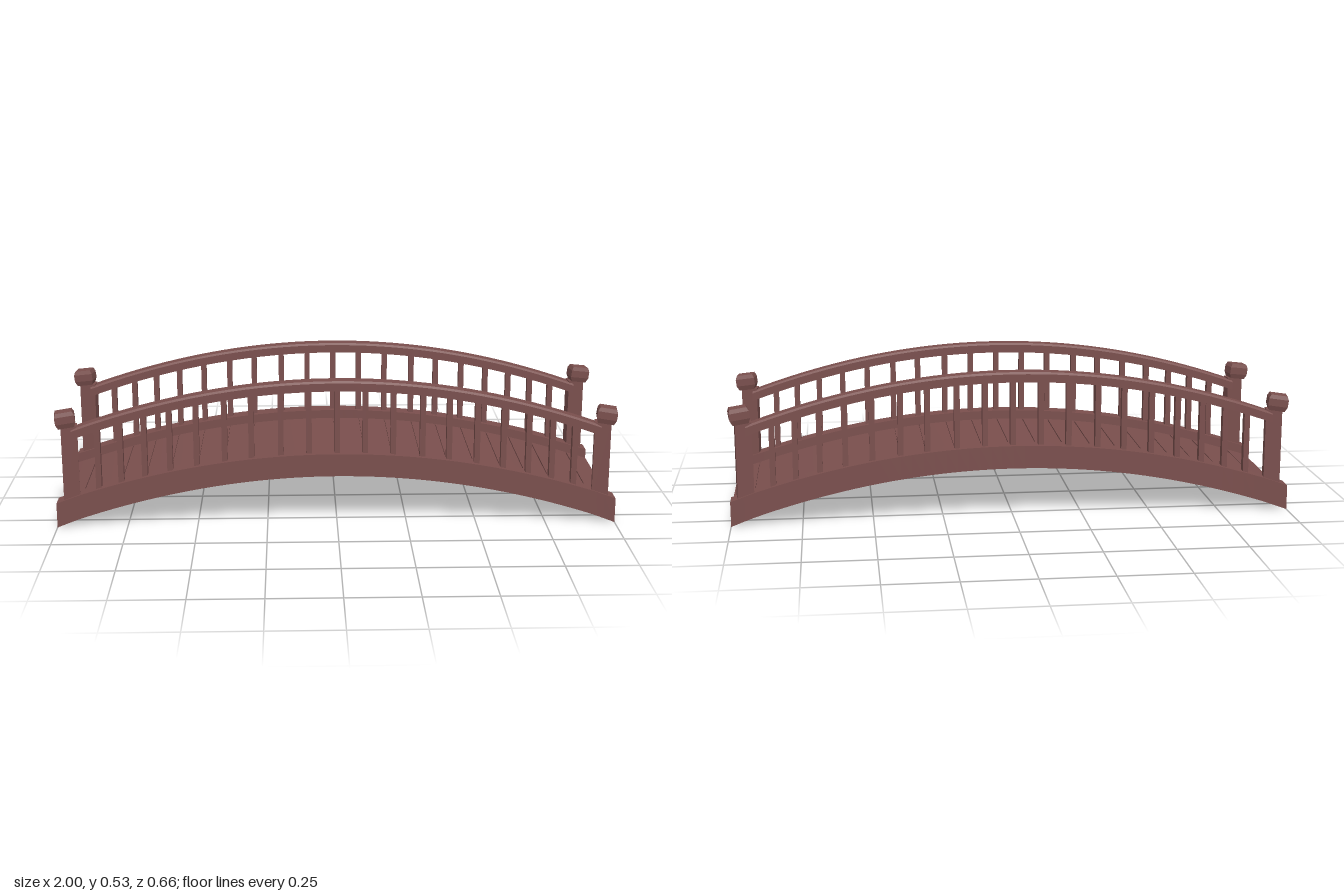
import * as THREE from 'three';
import { toCreasedNormals } from 'three/addons/utils/BufferGeometryUtils.js';

// Lofts a closed section along x; section(x) lists [y, z] corners, turning from +y to +z.
function loft(x0, x1, steps, section) {
  const pos = [];
  const rings = [];
  for (let i = 0; i <= steps; i++) {
    const x = x0 + ((x1 - x0) * i) / steps;
    rings.push(section(x).map(([y, z]) => [x, y, z]));
  }
  const tri = (a, b, c) => pos.push(...a, ...b, ...c);
  const n = rings[0].length;
  for (let i = 0; i < steps; i++) {
    for (let j = 0; j < n; j++) {
      const k = (j + 1) % n;
      tri(rings[i][j], rings[i][k], rings[i + 1][k]);
      tri(rings[i][j], rings[i + 1][k], rings[i + 1][j]);
    }
  }
  const first = rings[0], last = rings[steps];
  for (let j = 1; j < n - 1; j++) {
    tri(first[0], first[j + 1], first[j]);
    tri(last[0], last[j], last[j + 1]);
  }
  const g = new THREE.BufferGeometry();
  g.setAttribute('position', new THREE.Float32BufferAttribute(pos, 3));
  return toCreasedNormals(g, 0.3);
}

const rect = (y0, y1, z0, z1) => [[y0, z0], [y1, z0], [y1, z1], [y0, z1]];

// Height curves of the arch
const underside = (x) => 0.18 * (1 - x * x);
const deckTop = (x) => 0.23 - 0.175 * x * x;
const curbTop = (x) => 0.262 - 0.172 * x * x;
const railTop = (x) => 0.528 - 0.192 * x * x;

// The curbs splay outward over the last stretch at each end
const splay = (x) => Math.max(0, Math.abs(x) - 0.92) / 0.08;
const curbInner = (x) => 0.255 + 0.007 * splay(x);
const curbOuter = (x) => 0.317 + 0.011 * splay(x);

export function createModel() {
  const model = new THREE.Group();
  const wood = new THREE.MeshStandardMaterial({ color: 0x7a4f4d });
  wood.name = 'reddish brown wood';

  const add = (geometry, name, parent = model) => {
    const mesh = new THREE.Mesh(geometry, wood);
    mesh.name = name;
    parent.add(mesh);
    return mesh;
  };

  // Solid arched body under the planks
  add(loft(-1, 1, 50, (x) =>
    rect(underside(x), deckTop(x) - 0.006, -curbInner(x), curbInner(x))), 'archBody');

  // Deck planks with narrow grooves between them
  const seams = [0, 0.1, 0.2, 0.305, 0.4, 0.5, 0.6, 0.69, 0.78, 0.92, 1];
  const deck = new THREE.Group();
  deck.name = 'deck';
  model.add(deck);
  for (let i = 0; i < seams.length - 1; i++) {
    for (const s of [-1, 1]) {
      const a = s * (seams[i] + 0.002);
      const b = s * (seams[i + 1] - (i === seams.length - 2 ? 0 : 0.002));
      add(loft(Math.min(a, b), Math.max(a, b), 2, (x) =>
        rect(deckTop(x) - 0.01, deckTop(x), -curbInner(x), curbInner(x))), 'plank', deck);
    }
  }

  const capProfile = [[0, 0], [0.024, 0], [0.03, 0.018], [0.03, 0.044], [0.025, 0.058], [0, 0.06]]
    .map(([r, y]) => new THREE.Vector2(r * Math.SQRT2, y));
  const balusterX = [0, 0.1, 0.2, 0.305, 0.4, 0.5, 0.595, 0.685, 0.77, 0.85];

  for (const side of [-1, 1]) {
    const railing = new THREE.Group();
    railing.name = side > 0 ? 'frontRailing' : 'backRailing';
    model.add(railing);
    const span = (a, b) => (side > 0 ? [a, b] : [-b, -a]);

    // Curb beam
    add(loft(-1, 1, 50, (x) =>
      rect(underside(x), curbTop(x), ...span(curbInner(x), curbOuter(x)))), 'curb', railing);

    // Handrail with chamfered upper edges
    const [r0, r1] = span(0.26, 0.314);
    add(loft(-0.94, 0.94, 40, (x) => {
      const t = railTop(x);
      return [[t - 0.036, r0], [t - 0.007, r0], [t, r0 + 0.006],
        [t, r1 - 0.006], [t - 0.007, r1], [t - 0.036, r1]];
    }), 'handrail', railing);

    // Balusters
    for (const bx of balusterX) {
      for (const s of bx === 0 ? [1] : [-1, 1]) {
        const low = curbTop(bx) - 0.01, high = railTop(bx) - 0.025;
        add(new THREE.BoxGeometry(0.02, high - low, 0.026), 'baluster', railing)
          .position.set(s * bx, (low + high) / 2, side * 0.287);
      }
    }

    // End posts, turned with the splay and topped by leaning caps
    for (const s of [-1, 1]) {
      const turn = -s * side * 0.14;
      const post = add(new THREE.BoxGeometry(0.058, 0.29, 0.044), 'post', railing);
      post.position.set(s * 0.948, 0.225, side * 0.29);
      post.rotation.y = turn;

      const capGeo = new THREE.LatheGeometry(capProfile, 4).rotateY(Math.PI / 4).scale(1.18, 1, 0.97);
      const cap = add(toCreasedNormals(capGeo, 0.2), 'postCap', railing);
      cap.position.set(s * 0.957, 0.365, side * 0.291);
      cap.rotation.set(0, turn, -s * 0.13);
    }
  }
  return model;
}
